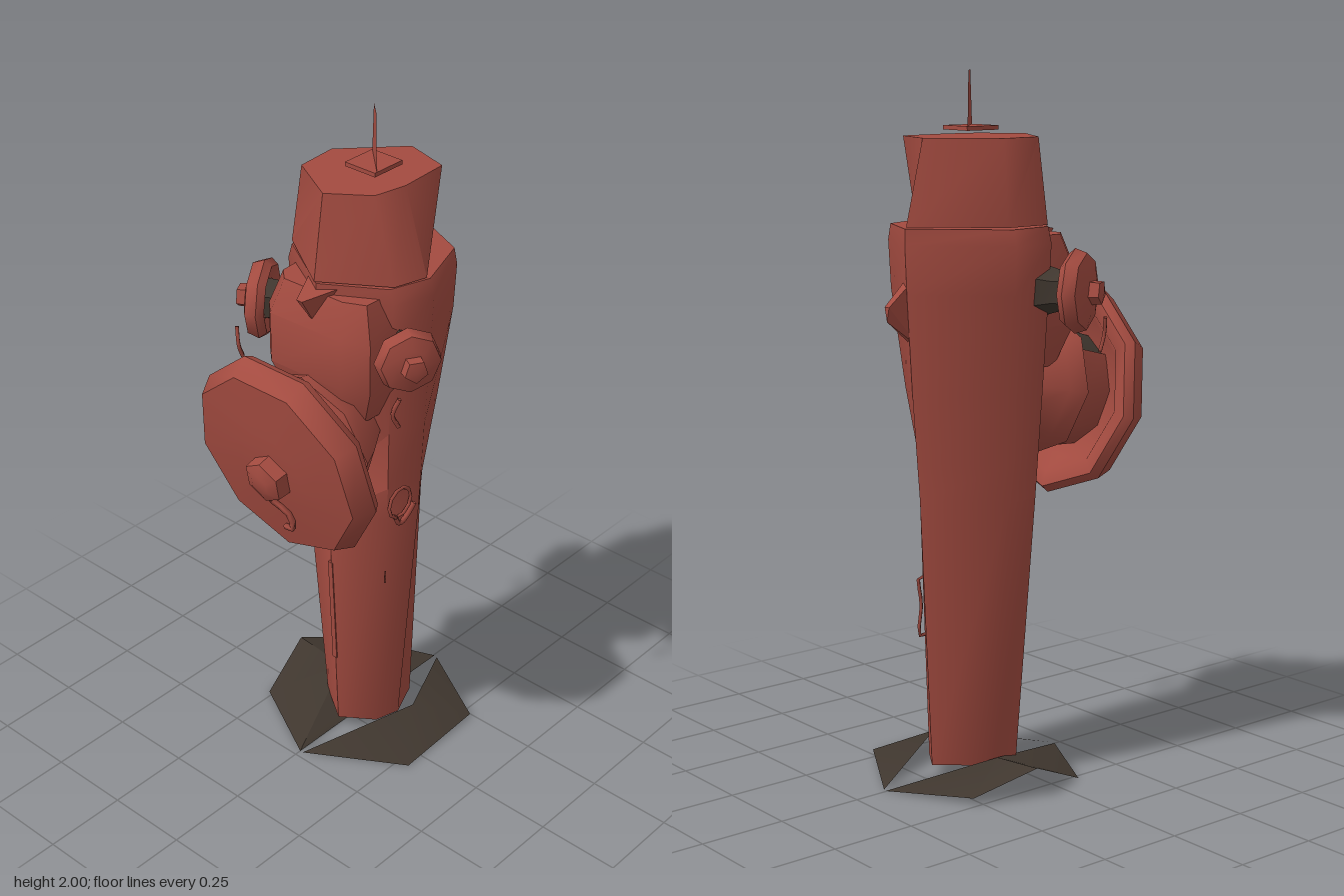
import * as THREE from 'three';
import { toCreasedNormals } from 'three/addons/utils/BufferGeometryUtils.js';
import { ConvexGeometry } from 'three/addons/geometries/ConvexGeometry.js';

const red = new THREE.MeshStandardMaterial({ name: 'faded red paint', color: 0xa34b40, side: THREE.DoubleSide });
const dark = new THREE.MeshStandardMaterial({ name: 'dark iron', color: 0x40372f, side: THREE.DoubleSide });

const V = (x, y, z) => new THREE.Vector3(x, y, z);

function add(parent, name, geometry, material = red) {
  const mesh = new THREE.Mesh(geometry, material);
  mesh.name = name;
  parent.add(mesh);
  return mesh;
}

// Skin a stack of rings (each a list of [x, y, z]) and close both ends
function loft(rings, crease = 1.0) {
  const n = rings[0].length, index = [];
  for (let r = 0; r < rings.length - 1; r++) {
    for (let i = 0; i < n; i++) {
      const a = r * n + i, b = r * n + (i + 1) % n;
      index.push(b, a, a + n, b, a + n, b + n);
    }
  }
  const top = (rings.length - 1) * n;
  for (let i = 1; i < n - 1; i++) index.push(0, i, i + 1, top, top + i + 1, top + i);
  const g = new THREE.BufferGeometry();
  g.setAttribute('position', new THREE.Float32BufferAttribute(rings.flat(2), 3));
  g.setIndex(index);
  return toCreasedNormals(g, crease);
}

// Turned part whose axis points along +z; profile is [radius, z], angles start at the bottom
function turned(profile, sides, start = 0, sweep = Math.PI * 2) {
  const g = new THREE.LatheGeometry(profile.map(([r, z]) => new THREE.Vector2(r, z)), sides, start, sweep);
  return toCreasedNormals(g.rotateX(Math.PI / 2), 0.85);
}

function hull(points) {
  return new ConvexGeometry(points.map(p => V(...p)));
}

function wire(points, radius = 0.007) {
  const curve = new THREE.CatmullRomCurve3(points.map(p => V(...p)));
  return new THREE.TubeGeometry(curve, 8, radius, 4);
}

// Open fan of triangles from a raised centre to a rim
function fan(centre, rim) {
  const pos = [];
  for (let i = 0; i < rim.length - 1; i++) pos.push(...centre, ...rim[i], ...rim[i + 1]);
  const g = new THREE.BufferGeometry();
  g.setAttribute('position', new THREE.Float32BufferAttribute(pos, 3));
  return toCreasedNormals(g, 0.6);
}

export function createModel() {
  const model = new THREE.Group();
  model.name = 'hydrant';

  // Tapered seven-sided barrel: [y, half width, half depth, back corner inset, front corner inset]
  const section = [[0, -0.32], [0.17, -0.25], [0.24, -0.07], [0.2, 0.05], [0.02, 0.155], [-0.2, 0.03], [-0.22, -0.11]];
  const ring = ([y, hx, hz, back, front]) => section.map(([x, z], i) => [
    0.005 + (x - 0.01) / 0.23 * hx - (i === 1 ? back : 0), y,
    -0.083 + (z + 0.0825) / 0.2375 * hz + (i === 1 ? back : 0) - (i === 4 ? front : 0)]);
  add(model, 'barrel', loft([
    [0.04, 0.122, 0.152, 0.008, 0], [0.82, 0.188, 0.191, 0.03, 0], [0.93, 0.194, 0.2, 0.03, 0.06], [1.12, 0.205, 0.215, 0.015, 0.04],
    [1.4, 0.222, 0.232, 0, 0], [1.535, 0.23, 0.238, 0, 0], [1.58, 0.215, 0.237, 0, 0],
  ].map(ring)));

  // Front shoulder that carries the outlets
  const shoulder = [[0.2, -0.02], [0.195, 0.14], [0.12, 0.175], [-0.13, 0.182], [-0.175, 0.14], [-0.185, -0.02]];
  add(model, 'shoulder', loft([[1.18, 0.75], [1.3, 1], [1.45, 1], [1.55, 0.82]].map(
    ([y, s]) => shoulder.map(([x, z]) => [x * s, y, z * s])), 0.8));
  add(model, 'beak', hull([[0, 1.55, 0.215], [0.02, 1.55, 0.215], [-0.05, 1.57, 0.11], [0.07, 1.57, 0.11], [0.01, 1.45, 0.15]]));
  add(model, 'backLug', hull([[-0.005, 1.45, -0.28], [0.03, 1.45, -0.28], [-0.005, 1.25, -0.27], [0.03, 1.25, -0.27],
    [0, 1.37, -0.372], [0.02, 1.37, -0.372], [0.01, 1.33, -0.372]]));

  // Bonnet, its lower rim cut short at one back corner
  const bonnetLow = [[-0.01, -0.32], [0.11, -0.195], [0.217, -0.06], [0.19, 0.04], [0.01, 0.157], [-0.2, 0.02], [-0.2, -0.12]];
  const bonnetHigh = [[-0.02, -0.27], [0.12, -0.23], [0.13, -0.07], [0.11, 0.03], [0, 0.11], [-0.16, 0.02], [-0.17, -0.11]];
  add(model, 'bonnet', loft([
    bonnetLow.map(([x, z]) => [x, 1.585, z]), bonnetHigh.map(([x, z]) => [x, 1.822, z])]));

  // Operating nut: thin plate with a diagonal fin
  add(model, 'nutPlate', new THREE.BoxGeometry(0.106, 0.012, 0.11)).position.set(0.007, 1.844, -0.082);
  add(model, 'nutFin', fan([-0.045, 1.845, -0.135],
    [[0.06, 1.845, -0.035], [0.03, 2, -0.065], [-0.018, 2, -0.11]]));

  // Large tilted front outlet: hollow-backed cap on a flared neck
  const front = new THREE.Group();
  front.name = 'frontOutlet';
  front.position.set(0.005, 1.078, 0.318);
  front.rotation.x = 0.18;
  model.add(front);
  add(front, 'frontCap', turned([[0, -0.02], [0.21, -0.035], [0.255, -0.08], [0.3, -0.085], [0.316, -0.06], [0.285, 0], [0.12, 0.018], [0, 0.022]], 9));
  add(front, 'frontNeck', turned([[0.12, -0.32], [0.19, -0.2], [0.21, -0.15], [0.17, -0.13]], 8));
  add(front, 'neckLower', turned([[0.185, -0.15], [0.17, -0.03]], 7, -Math.PI * 0.72, Math.PI * 1.44));
  add(front, 'neckUpper', turned([[0.175, -0.14], [0.16, -0.03]], 3, Math.PI * 0.72, Math.PI * 0.56), dark);
  add(front, 'frontNut', turned([[0.07, 0], [0.065, 0.06], [0.03, 0.074], [0, 0.074]], 6)).position.set(0.01, -0.012, 0);

  // Side outlets: [side, centre x, centre z, radius]
  for (const [s, x, z, r] of [[1, 0.267, 0.068, 0.094], [-1, -0.267, 0.077, 0.118]]) {
    const outlet = new THREE.Group();
    outlet.name = s > 0 ? 'leftOutlet' : 'rightOutlet';
    outlet.position.set(x, 1.405, z);
    outlet.rotation.y = s * Math.PI / 3;
    model.add(outlet);
    add(outlet, 'sideCap', turned([[r * 0.5, -0.02], [r * 0.85, -0.032], [r, -0.012], [r * 0.9, 0.022], [r * 0.5, 0.035], [0, 0.038]], 8));
    add(outlet, 'sidePipe', turned([[r * 0.65, -0.12], [r * 0.5, -0.06], [r * 0.55, -0.01]], 6), dark);
    add(outlet, 'sideNut', turned([[0.036, 0.025], [0.034, 0.065], [0, 0.072]], 5));
    add(model, 'chainEnd', wire([[x + s * 0.03, 1.33, z + 0.07], [x + s * 0.015, 1.28, z + 0.08], [x + s * 0.02, 1.235, z + 0.06]]));
  }

  // Loose chain pieces
  const link = add(model, 'chainRing', new THREE.TorusGeometry(0.045, 0.006, 4, 10));
  link.position.set(0.28, 0.98, 0.11);
  link.rotation.y = Math.PI / 2;
  add(model, 'chainLink', wire([[0.29, 0.95, 0.14], [0.28, 0.91, 0.11], [0.27, 0.91, 0.07], [0.28, 0.95, 0.05]], 0.008));
  add(model, 'frontHook', wire([[0.05, 1.03, 0.37], [0.005, 0.98, 0.335], [0.055, 0.94, 0.315], [0.06, 0.89, 0.305], [0.03, 0.885, 0.305]], 0.009));
  add(model, 'chainScrap', wire([[0.255, 0.75, 0.14], [0.255, 0.71, 0.14]], 0.003));

  // Thin rods on the barrel
  const rod = add(model, 'frontRod', new THREE.BoxGeometry(0.016, 0.36, 0.016));
  rod.position.set(0.008, 0.46, 0.083);
  rod.rotation.x = 0.05;
  add(model, 'backHandle', wire([[0.01, 0.6, -0.25], [0.01, 0.6, -0.27], [0.01, 0.52, -0.262], [0.01, 0.43, -0.268], [0.01, 0.43, -0.24]], 0.006));

  // Two bent halves of the base flange
  add(model, 'rightBase', fan([-0.13, 0.068, -0.1],
    [[0, 0.0, -0.1], [0.003, 0, -0.398], [-0.24, 0.02, -0.275], [-0.305, 0.085, -0.1], [-0.265, 0, 0.09], [0, 0, 0.23], [0, 0, -0.1]]), dark);
  add(model, 'leftBase', fan([0.165, 0.07, -0.1],
    [[0.015, 0, -0.395], [0.28, 0.01, -0.24], [0.287, 0, 0.06], [0.01, 0, 0.23]]), dark);

  return model;
}
